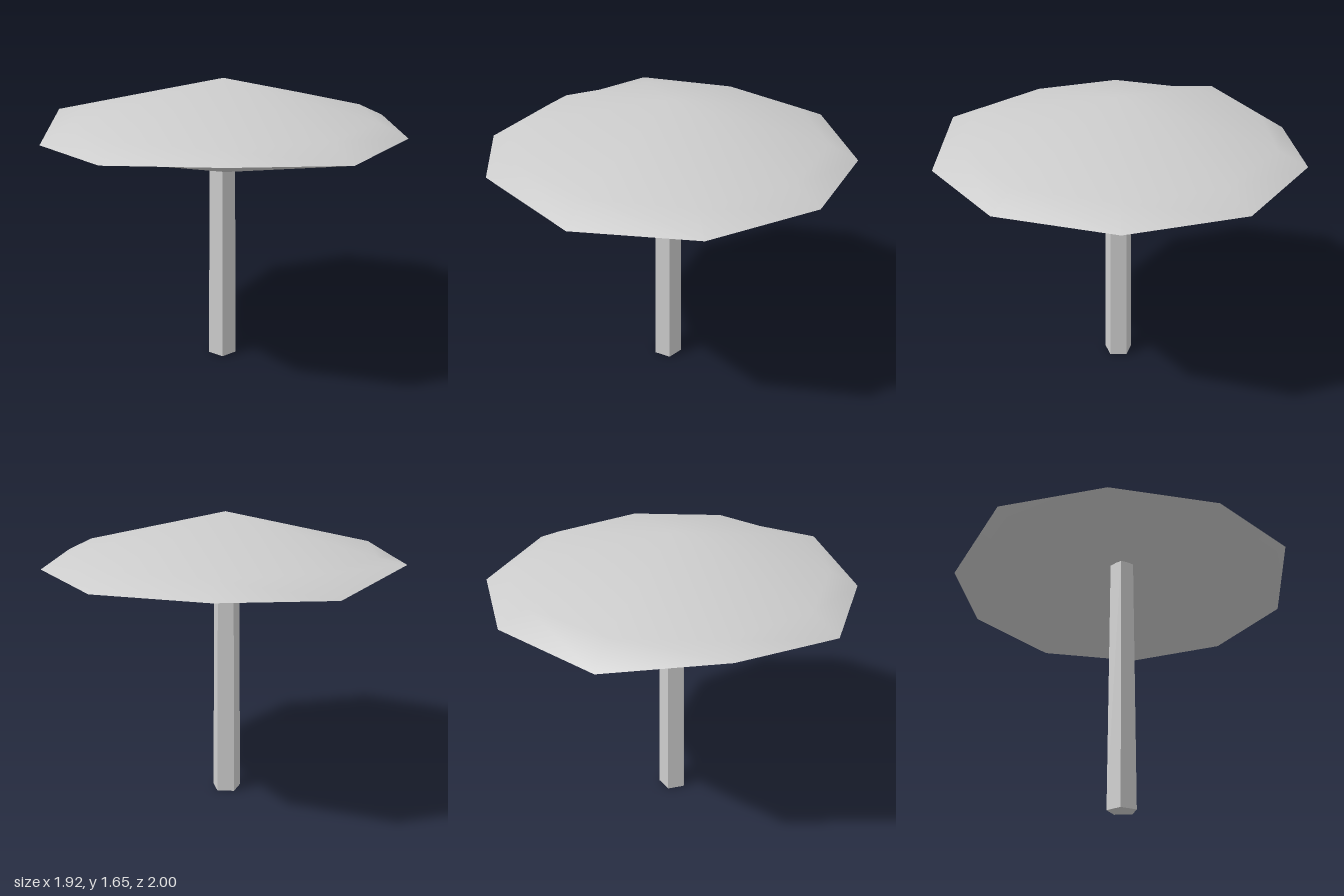
import * as THREE from 'three';

// Hand-shaped ten-sided rim of the canopy: x, y, z
const RIM = [
  [0, 1.365, 1], [0.6, 1.375, 0.81], [0.96, 1.378, 0.3], [0.96, 1.368, -0.33], [0.59, 1.38, -0.83],
  [0, 1.35, -1], [-0.59, 1.425, -0.81], [-0.965, 1.357, -0.3], [-0.95, 1.37, 0.29], [-0.6, 1.41, 0.8],
];

// Smooth shell from a centre point through an inner ring out to the rim
function shell(centreY, ringScale, ringY, up) {
  const n = RIM.length;
  const points = [[0, centreY, 0]];
  RIM.forEach(([x, , z]) => points.push([x * ringScale, ringY, z * ringScale]));
  points.push(...RIM);
  const index = [];
  const face = (a, b, c) => index.push(...(up ? [a, b, c] : [a, c, b]));
  for (let i = 0; i < n; i++) {
    const a = 1 + i, b = 1 + (i + 1) % n;
    face(0, a, b);
    face(a, a + n, b + n);
    face(a, b + n, b);
  }
  const geometry = new THREE.BufferGeometry();
  geometry.setAttribute('position', new THREE.Float32BufferAttribute(points.flat(), 3));
  geometry.setIndex(index);
  geometry.computeVertexNormals();
  return geometry;
}

export function createModel() {
  const model = new THREE.Group();
  model.name = 'parasol';
  const grey = new THREE.MeshStandardMaterial({ color: 0xcccccc });
  grey.name = 'light grey';

  const add = (name, geometry) => {
    const mesh = new THREE.Mesh(geometry, grey);
    mesh.name = name;
    model.add(mesh);
  };

  // Canopy: sloping top with a steeper skirt, and a hollow underside below it
  add('canopyTop', shell(1.65, 0.845, 1.45, true));
  add('canopyUnderside', shell(1.545, 0.84, 1.348, false));

  // Five-sided tapering pole with one flat side facing forward, reaching up into the hollow
  const pole = new THREE.CylinderGeometry(0.072, 0.085, 1.56, 5, 1, false, Math.PI).toNonIndexed();
  pole.computeVertexNormals();
  pole.translate(-0.004, 0.78, -0.005);
  add('pole', pole);

  return model;
}
